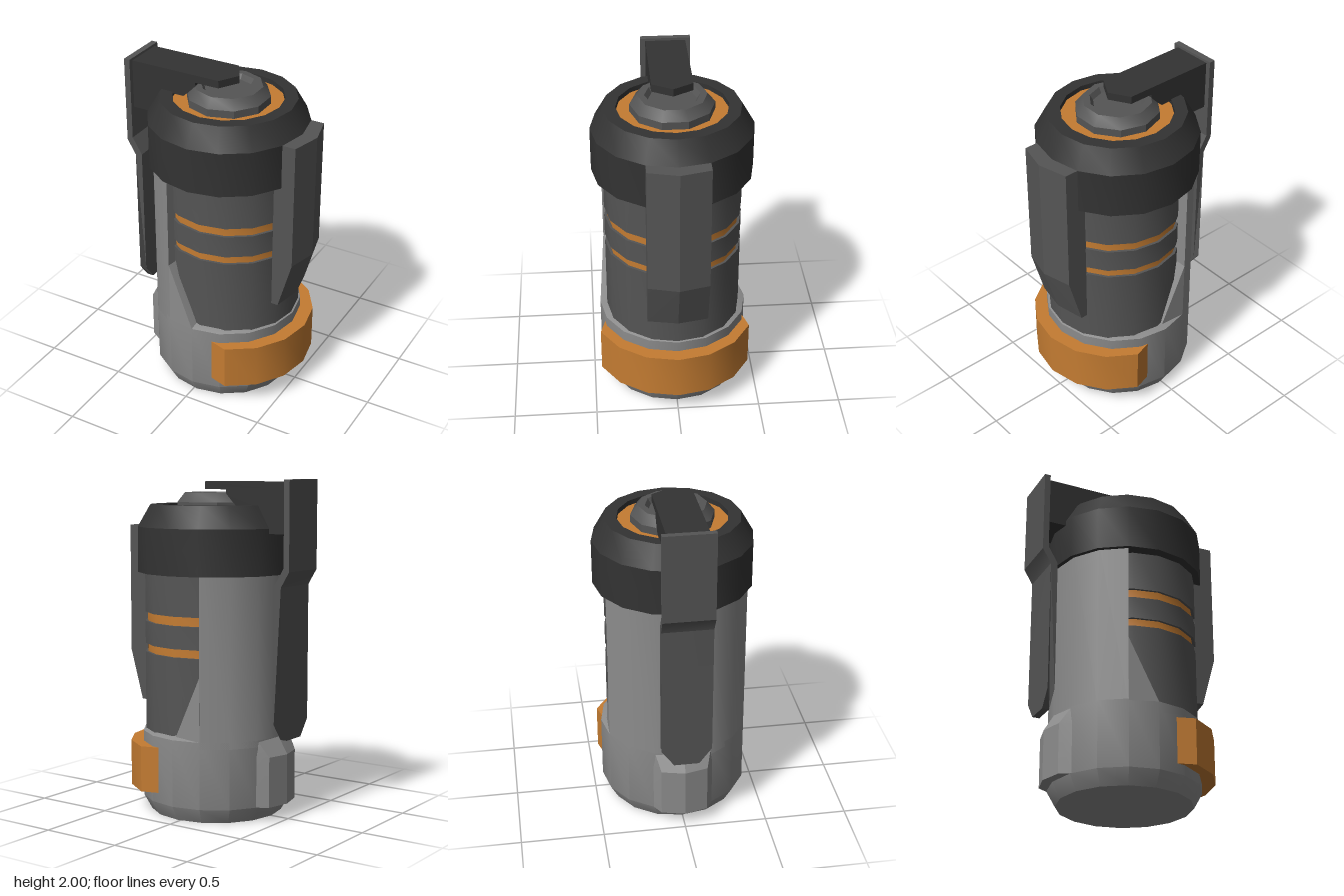
import * as THREE from 'three';
import { toCreasedNormals } from 'three/addons/utils/BufferGeometryUtils.js';
import { ConvexGeometry } from 'three/addons/geometries/ConvexGeometry.js';

const mat = (color) => new THREE.MeshStandardMaterial({ color });
const light = mat(0x8c8c8c), dark = mat(0x555555), black = mat(0x333333), orange = mat(0xc47c32);
const CX = 0.02; // axis of the canister

export function createModel() {
  const model = new THREE.Group();

  const add = (name, geometry, material, crease = 0.5) => {
    const mesh = new THREE.Mesh(toCreasedNormals(geometry, crease), material);
    mesh.name = name;
    model.add(mesh);
    return mesh;
  };
  // Turned part from [radius, y] points, bottom to top on the outside
  const turned = (name, points, material, sides = 16, x = CX) =>
    add(name, new THREE.LatheGeometry(points.map(([r, y]) => new THREE.Vector2(r, y)), sides).translate(x, 0, 0), material);
  const shapeOf = (points) => new THREE.Shape(points.map(([x, y]) => new THREE.Vector2(x, y)));
  // Plan outline [x, z], symmetric in z, raised from y0 to y1
  const raised = (name, points, y0, y1, material) =>
    add(name, new THREE.ExtrudeGeometry(shapeOf(points), { depth: y1 - y0, bevelEnabled: false })
      .rotateX(-Math.PI / 2).translate(0, y0, 0), material);
  // Side outline [x, y], centred in z
  const sideCut = (points, width) =>
    new THREE.ExtrudeGeometry(shapeOf(points), { depth: width, bevelEnabled: false }).translate(0, 0, -width / 2);
  const hull = (name, points, material) =>
    add(name, new ConvexGeometry(points.map((p) => new THREE.Vector3(...p))), material, 0.2);
  const arc = (cx, r, from, to) => {
    const points = [];
    for (let i = from; i <= to; i++) {
      const a = (i * Math.PI) / 8;
      points.push([cx + r * Math.cos(a), r * Math.sin(a)]);
    }
    return points;
  };

  // Base cup with chamfered foot and sloping ledge
  turned('base', [[0, 0], [0.4, 0], [0.45, 0.09], [0.45, 0.49], [0.4, 0.51], [0, 0.51]], light);

  // Right half of the outer shell, cut off flat
  raised('outerShell', arc(CX, 0.45, 5, 11), 0.45, 1.5, light);

  // Lower corners of the shell opening: front slopes outside, back slopes inside
  const cut = -0.152;
  hull('frontShellCorner', [
    [cut, 0.87, 0.416], [cut, 0.48, 0.416], [CX, 0.49, 0.45],
    [-0.14, 0.87, 0.33], [cut, 0.48, 0.33], [0.03, 0.51, 0.39],
  ], light);
  hull('backShellCorner', [
    [cut, 0.87, -0.416], [cut, 0.49, -0.416], [CX, 0.5, -0.415],
    [cut, 0.87, -0.33], [cut, 0.49, -0.33], [CX, 0.5, -0.38],
  ], light);

  // Inner core with two grooves holding coloured bands
  const grooves = [[0.97, 1.02], [1.155, 1.21]];
  const coreX = 0.052, coreR = 0.408;
  const profile = [[coreR, 0.48]];
  for (const [a, b] of grooves) profile.push([coreR, a], [0.385, a], [0.385, b], [coreR, b]);
  profile.push([coreR, 1.5]);
  turned('core', profile, dark, 16, coreX);
  for (const [a, b] of grooves) turned('grooveBand', [[0.392, a], [0.392, b]], orange, 16, coreX);

  // Bump at the foot of the shell, below the lever
  const bump = [];
  for (const y of [0.09, 0.39]) {
    bump.push([-0.49, y, 0]);
    for (const s of [-1, 1]) bump.push([-0.455, y, 0.14 * s], [-0.39, y, 0.18 * s]);
  }
  bump.push([-0.43, 0.49, 0], [-0.39, 0.49, 0.17], [-0.39, 0.49, -0.17]);
  hull('shellBump', bump, light);

  // Clamp around the left of the base
  raised('clamp', [[0.14, -0.425], ...arc(0.06, 0.494, -3, 3), [0.14, 0.425]], 0.15, 0.425, orange);

  // Spine plate on the left side, tapering at the bottom
  const spine = [];
  for (const [y, edge, ridge] of [[1.72, 0.54, 0.585], [0.95, 0.54, 0.585], [0.65, 0.455, 0.49]]) {
    spine.push([ridge, y, 0]);
    for (const s of [-1, 1]) spine.push([edge, y, 0.18 * s], [0.41, y, 0.18 * s]);
  }
  hull('spinePlate', spine, dark);

  // Cap with a recessed coloured ring
  turned('cap', [[0.38, 1.45], [0.475, 1.45], [0.475, 1.72], [0.4, 1.85], [0.325, 1.85], [0.325, 1.8]], black);
  turned('capRing', [[0.33, 1.82], [0.2, 1.82]], orange);

  // Ten-sided nub with a dished top
  turned('nub', [[0.245, 1.8], [0.245, 1.865], [0.2, 1.92], [0.16, 1.92], [0.14, 1.89], [0, 1.89]], dark, 10);

  // Pointed arm over the nub and its bracket
  raised('leverArm', [[-0.56, -0.12], [0.02, -0.12], [0.09, 0], [0.02, 0.12], [-0.56, 0.12]], 1.94, 1.985, black);
  add('leverBracket', sideCut([
    [-0.56, 1.69], [-0.42, 1.69], [-0.36, 1.84], [-0.21, 1.84], [-0.13, 1.91], [-0.13, 1.95], [-0.56, 1.95],
  ], 0.24), black);

  // Cranked safety lever, its lower end narrowed
  const lever = sideCut([
    [-0.587, 2], [-0.587, 1.48], [-0.533, 1.39], [-0.533, 0.59], [-0.533, 0.49],
    [-0.49, 0.49], [-0.49, 0.59], [-0.49, 1.4], [-0.55, 1.5], [-0.55, 2],
  ], 0.3);
  const p = lever.attributes.position;
  for (let i = 0; i < p.count; i++) if (p.getY(i) < 0.5) p.setZ(i, p.getZ(i) * 0.5);
  add('lever', lever, dark);

  return model;
}
